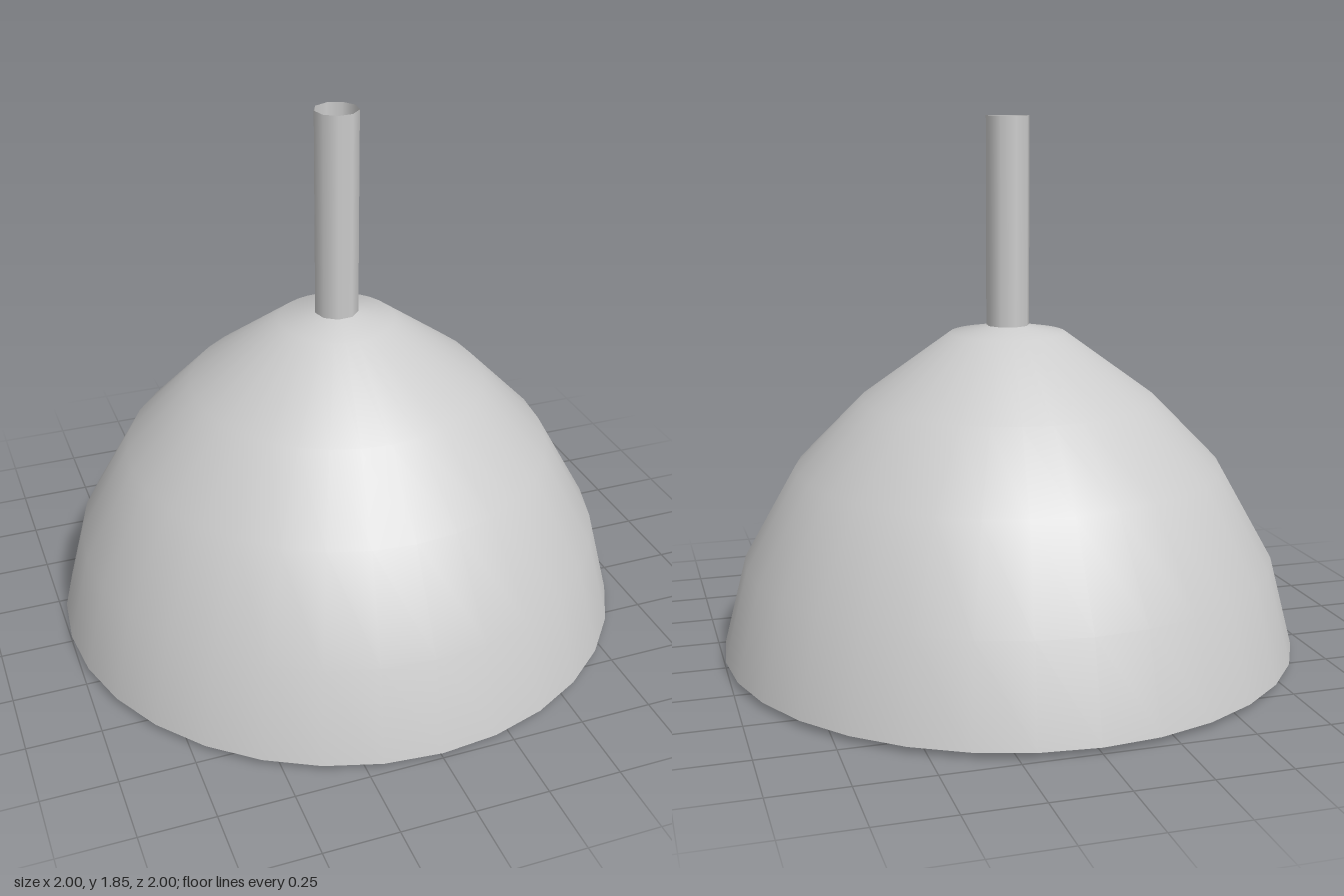
import * as THREE from 'three';

const SEGMENTS = 32;

export function createModel() {
  const model = new THREE.Group();
  const material = new THREE.MeshStandardMaterial({ color: 0xcccccc });
  const tubeMaterial = new THREE.MeshStandardMaterial({ color: 0xcccccc, side: THREE.DoubleSide });

  // Revolves a profile; separate shells keep the rim edges sharp
  function addShell(name, profile) {
    const points = profile.map(([r, y]) => new THREE.Vector2(r, y));
    const mesh = new THREE.Mesh(new THREE.LatheGeometry(points, SEGMENTS), material);
    mesh.name = name;
    model.add(mesh);
  }

  // Outer dome, rim to apex
  addShell('shadeOuter', [[1, 0.02], [0.92, 0.335], [0.74, 0.655], [0.51, 0.89], [0.2, 1.115], [0, 1.15]]);

  // Slightly sloped underside of the thick rim
  addShell('shadeRim', [[0.85, 0], [1, 0.02]]);

  // Inner dome, apex to rim
  addShell('shadeInner', [[0, 1.0], [0.17, 0.965], [0.43, 0.77], [0.63, 0.56], [0.78, 0.29], [0.85, 0]]);

  // Open nine-sided stem on top
  const bottom = 1.14, top = 1.85;
  const stem = new THREE.Mesh(
    new THREE.CylinderGeometry(0.075, 0.075, top - bottom, 9, 1, true, Math.PI * 1.25),
    tubeMaterial
  );
  stem.name = 'stem';
  stem.position.y = (top + bottom) / 2;
  model.add(stem);

  return model;
}
